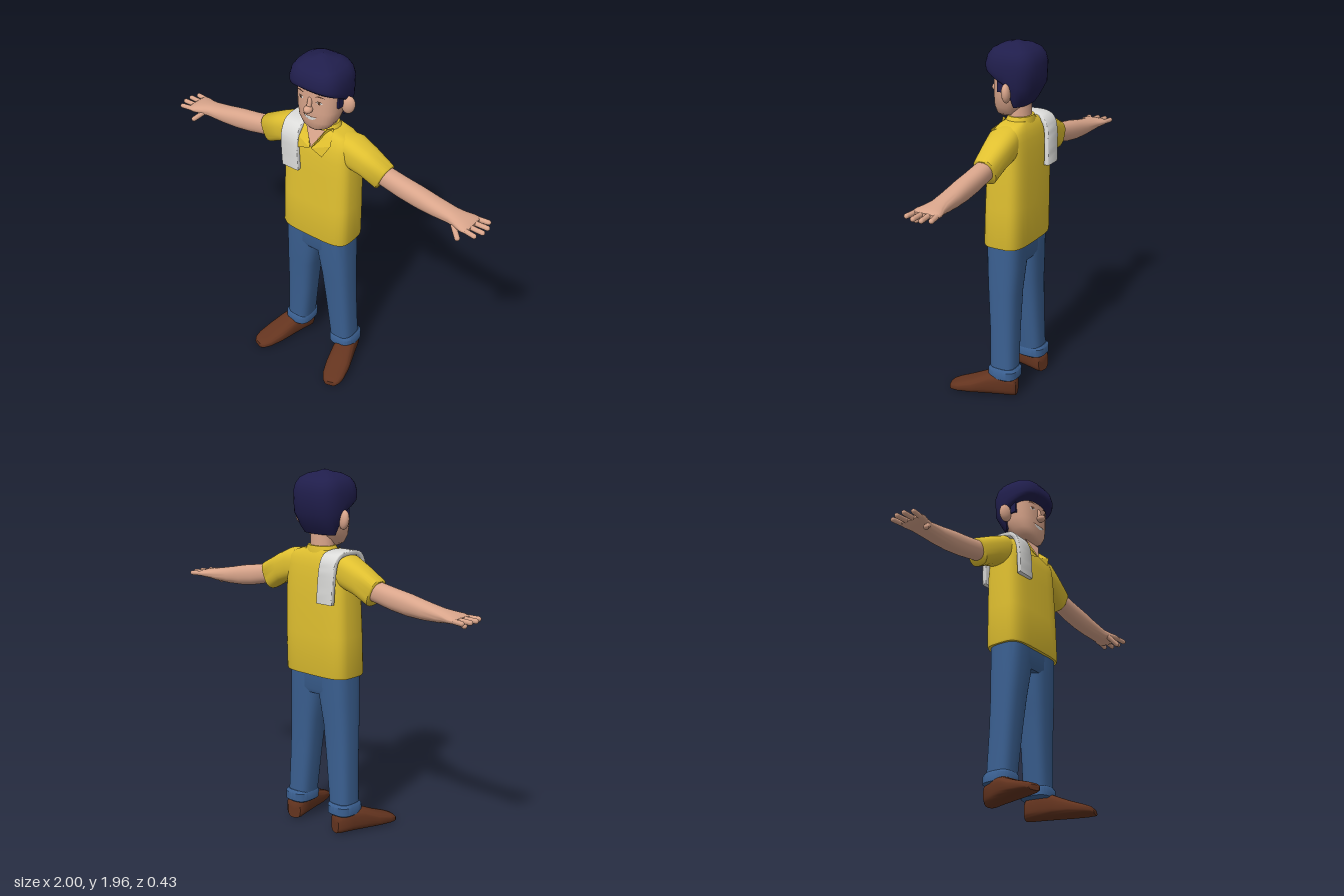
import * as THREE from 'three';
import { toCreasedNormals } from 'three/addons/utils/BufferGeometryUtils.js';

const paint = (name, color) => new THREE.MeshStandardMaterial({ name, color });
const V = (x, y, z) => new THREE.Vector3(x, y, z);

// Signed power, for rounded-square cross-sections
const spow = (v, n) => Math.sign(v) * Math.abs(v) ** (2 / n);

// Closed skin over rounded-square rings.
// axis 'y': [y, cx, cz, rx, rz]   axis 'x': [x, cy, cz, ry, rz, skew]
function loft(axis, rings, n = 3, warp = null, crease = 0.75, seg = 32) {
  const pts = [], index = [];
  for (const [a, c1, c2, r1, r2, skew = 0] of rings) {
    for (let i = 0; i < seg; i++) {
      const t = (i / seg) * Math.PI * 2;
      const c = spow(Math.cos(t), n), s = spow(Math.sin(t), n);
      const p = axis === 'y' ? V(c1 + r1 * c, a, c2 - r2 * s) : V(a + skew * c, c1 + r1 * c, c2 + r2 * s);
      if (warp) warp(p, -s);
      pts.push(p);
    }
  }
  const last = (rings.length - 1) * seg;
  const middle = (from) => pts.slice(from, from + seg).reduce((m, p) => m.add(p), V(0, 0, 0)).divideScalar(seg);
  const ends = [middle(0), middle(last)];
  const e0 = pts.length, e1 = e0 + 1;
  pts.push(...ends);
  for (let i = 0; i < seg; i++) {
    const j = (i + 1) % seg;
    for (let r = 0; r < last; r += seg) {
      index.push(r + i, r + j, r + seg + i, r + j, r + seg + j, r + seg + i);
    }
    index.push(e0, j, i, e1, last + i, last + j);
  }
  const g = new THREE.BufferGeometry().setFromPoints(pts);
  g.setIndex(index);
  return toCreasedNormals(g, crease);
}

// Round-ended rod between two points
function rod(a, b, r) {
  const d = b.clone().sub(a);
  const g = new THREE.CapsuleGeometry(r, d.length(), 4, 10);
  g.applyQuaternion(new THREE.Quaternion().setFromUnitVectors(V(0, 1, 0), d.normalize()));
  const m = a.clone().add(b).multiplyScalar(0.5);
  return g.translate(m.x, m.y, m.z);
}

function ellipsoid(x, y, z, rx, ry, rz) {
  return new THREE.SphereGeometry(1, 20, 14).scale(rx, ry, rz).translate(x, y, z);
}

// Fan of flat corners
function panel(...corners) {
  const g = new THREE.BufferGeometry().setFromPoints(corners);
  const index = [];
  for (let i = 1; i < corners.length - 1; i++) index.push(0, i, i + 1);
  g.setIndex(index);
  const flat = g.toNonIndexed();
  flat.computeVertexNormals();
  return flat;
}

function mirrored(geo) {
  const g = geo.index ? geo.toNonIndexed() : geo.clone();
  g.scale(-1, 1, 1);
  const index = [];
  for (let i = 0; i < g.attributes.position.count; i += 3) index.push(i, i + 2, i + 1);
  g.setIndex(index);
  return g;
}

export function createModel() {
  const model = new THREE.Group();
  model.name = 'man';
  const skin = paint('skin', 0xd9a58b), yellow = paint('yellow shirt', 0xe0c030);
  const denim = paint('blue denim', 0x3a5f90), navy = paint('navy cap', 0x201e4c);
  const brown = paint('brown leather', 0x64341f), white = paint('white cloth', 0xdcdcda);
  const dark = paint('dark brown hair', 0x5a3c2c), collarYellow = paint('yellow collar', 0xdebd2e);
  collarYellow.side = THREE.DoubleSide;

  const add = (name, geo, mat) => {
    const mesh = new THREE.Mesh(geo, mat);
    mesh.name = name;
    model.add(mesh);
  };
  const pair = (name, geo, mat) => {
    add('left' + name, geo, mat);
    add('right' + name, mirrored(geo), mat);
  };

  // Shirt body
  add('shirt', loft('y', [
    [0.875, 0, -0.07, 0.214, 0.115], [0.885, 0, -0.07, 0.217, 0.118], [1.1, 0, -0.075, 0.217, 0.115],
    [1.3, 0, -0.08, 0.213, 0.11], [1.4, 0, -0.08, 0.208, 0.105], [1.46, 0, -0.082, 0.205, 0.098],
    [1.5, 0, -0.085, 0.198, 0.088], [1.53, 0, -0.088, 0.165, 0.075], [1.55, 0, -0.09, 0.1, 0.062],
  ], 4), yellow);
  // Sleeves with slanted openings
  pair('Sleeve', loft('x', [
    [0.11, 1.45, -0.088, 0.09, 0.07], [0.2, 1.445, -0.09, 0.088, 0.085, 0.005],
    [0.28, 1.413, -0.093, 0.079, 0.074, 0.015], [0.38, 1.36, -0.095, 0.071, 0.061, 0.03],
    [0.385, 1.358, -0.095, 0.065, 0.055, 0.028],
  ], 2.7), yellow);
  // Collar
  add('collarBand', loft('y', [
    [1.52, 0, -0.087, 0.1, 0.075], [1.55, 0, -0.09, 0.09, 0.07], [1.57, 0, -0.092, 0.078, 0.064],
  ], 2.2), yellow);
  add('openNeck', panel(V(0, 1.455, 0.036), V(0.062, 1.558, -0.008), V(-0.062, 1.558, -0.008)), skin);
  pair('CollarFlap', panel(V(0.004, 1.452, 0.037), V(0.078, 1.428, 0.042), V(0.118, 1.5, 0.022),
    V(0.085, 1.562, -0.05), V(0.064, 1.562, -0.018)), collarYellow);

  // Arms and hands
  pair('Arm', loft('x', [
    [0.3, 1.38, -0.095, 0.05, 0.045], [0.4, 1.365, -0.095, 0.055, 0.05], [0.5, 1.345, -0.095, 0.057, 0.051],
    [0.6, 1.33, -0.095, 0.056, 0.052], [0.7, 1.317, -0.095, 0.047, 0.052], [0.8, 1.309, -0.095, 0.036, 0.052],
    [0.845, 1.308, -0.092, 0.029, 0.062], [0.885, 1.307, -0.09, 0.024, 0.076],
    [0.915, 1.306, -0.09, 0.018, 0.077], [0.925, 1.306, -0.09, 0.01, 0.072],
  ], 2.3), skin);
  [[-0.15, -0.16, 0.968], [-0.111, -0.117, 0.987], [-0.07, -0.07, 0.987], [-0.031, -0.022, 0.968]].forEach(
    ([z0, z1, x], i) => pair('Finger' + (i + 1), rod(V(0.9, 1.306, z0), V(x, 1.304, z1), 0.0135), skin));
  pair('Thumb', rod(V(0.835, 1.295, -0.045), V(0.88, 1.253, -0.015), 0.0145), skin);

  // Trousers
  add('hips', loft('y', [
    [0.765, 0, -0.069, 0.19, 0.084], [0.79, 0, -0.069, 0.204, 0.094], [0.9, 0, -0.069, 0.2, 0.098],
  ], 3.5), denim);
  pair('TrouserLeg', loft('y', [
    [0.13, 0.157, -0.083, 0.068, 0.073], [0.4, 0.136, -0.076, 0.079, 0.076], [0.6, 0.122, -0.07, 0.088, 0.084],
    [0.75, 0.106, -0.069, 0.1, 0.094], [0.88, 0.101, -0.069, 0.1, 0.098],
  ], 3), denim);
  pair('TrouserCuff', loft('y', [
    [0.1, 0.161, -0.086, 0.068, 0.076], [0.108, 0.161, -0.086, 0.078, 0.086],
    [0.152, 0.16, -0.086, 0.078, 0.086], [0.166, 0.159, -0.085, 0.066, 0.074],
  ], 3), denim);

  // Shoes, toes turned out
  const shoe = loft('x', [[0, 0.1, 0.038], [0.015, 0.118, 0.052], [0.09, 0.135, 0.058], [0.16, 0.122, 0.064],
    [0.25, 0.083, 0.069], [0.33, 0.055, 0.062], [0.365, 0.042, 0.048], [0.38, 0.028, 0.032],
  ].map(([x, h, w]) => [x, h / 2, 0, h / 2, w]), 3);
  pair('Shoe', shoe.rotateY(-1.27).translate(0.155, 0, -0.16), brown);

  // Head and neck
  add('neck', loft('y', [[1.48, 0, -0.088, 0.072, 0.058], [1.63, 0, -0.088, 0.068, 0.056]], 2), skin);
  const headRings = [
    [1.562, 0, -0.02, 0.045, 0.04], [1.58, 0, -0.03, 0.08, 0.06], [1.62, 0, -0.042, 0.108, 0.08],
    [1.68, 0, -0.06, 0.124, 0.1], [1.76, 0, -0.073, 0.13, 0.113], [1.86, 0, -0.073, 0.133, 0.113],
  ];
  add('head', loft('y', headRings, 2.6, null, 1.2), skin);
  add('noseTip', ellipsoid(0, 1.697, 0.055, 0.024, 0.021, 0.026), skin);
  add('noseBridge', rod(V(0, 1.75, 0.035), V(0, 1.705, 0.05), 0.013), skin);
  pair('Ear', ellipsoid(0, 0, 0, 0.036, 0.052, 0.024).rotateY(0.35).rotateZ(-0.15).translate(0.15, 1.712, -0.085), skin);

  // Front surface of the face, for laying thin features on it
  const faceZ = (x, y) => {
    let i = 0;
    while (i < headRings.length - 2 && headRings[i + 1][0] < y) i++;
    const a = headRings[i], b = headRings[i + 1], k = (y - a[0]) / (b[0] - a[0]);
    const [cz, rx, rz] = [2, 3, 4].map((c) => a[c] + (b[c] - a[c]) * k);
    return cz + rz * Math.max(0, 1 - Math.abs(x / rx) ** 2.6) ** (1 / 2.6);
  };
  const onFace = (geo, lift) => {
    const p = geo.attributes.position;
    for (let i = 0; i < p.count; i++) p.setZ(i, faceZ(p.getX(i), p.getY(i)) + lift);
    geo.computeVertexNormals();
    return geo;
  };
  const disc = (x, y, rx, ry) => new THREE.CircleGeometry(1, 18).scale(rx, ry, 1).translate(x, y, 0);
  // Curved strip: y follows a parabola, thickness fades to the ends
  const strip = (x, y, w, h, bend) => {
    const g = new THREE.PlaneGeometry(w, h, 14, 1), p = g.attributes.position;
    for (let i = 0; i < p.count; i++) {
      const u = p.getX(i) / (w / 2);
      p.setY(i, p.getY(i) * (1.1 - u * u) + bend * u * u);
    }
    return g.translate(x, y, 0);
  };
  pair('Eye', onFace(disc(0.058, 1.744, 0.016, 0.008), 0.003), white);
  pair('Pupil', onFace(disc(0.058, 1.744, 0.008, 0.008), 0.005), dark);
  pair('Eyelid', onFace(strip(0.058, 1.754, 0.038, 0.004, -0.006), 0.005), dark);
  pair('Eyebrow', onFace(strip(0.06, 1.782, 0.052, 0.007, -0.007), 0.004), dark);
  add('lipLine', onFace(strip(0, 1.65, 0.1, 0.006, 0.007), 0.004), dark);
  add('smile', onFace(strip(0, 1.641, 0.08, 0.018, 0.009), 0.004), white);

  // Cap, its edge rising at the brow and reaching down over the nape
  add('cap', loft('y', [
    [1.75, 0, -0.066, 0.146, 0.137], [1.765, 0, -0.066, 0.153, 0.143], [1.8, 0, -0.066, 0.155, 0.146],
    [1.85, 0, -0.066, 0.154, 0.146], [1.89, 0, -0.066, 0.144, 0.136], [1.92, 0, -0.067, 0.123, 0.115],
    [1.942, 0, -0.068, 0.083, 0.077], [1.952, 0, -0.069, 0.035, 0.033], [1.962, 0, -0.07, 0.008, 0.008],
  ], 2.9, (p, s) => {
    const k = s > 0 ? 0.95 - 0.65 * s : Math.min(2.2, 0.95 - 2.5 * s);
    if (p.y < 1.85) p.y = 1.85 - (1.85 - p.y) * k;
    const low = Math.max(0, 1.75 - p.y);
    p.z += low * 0.5 * Math.max(0, -s);
    p.x *= 1 - low * 1.7;
  }, 1), navy);
  pair('Sideburn', new THREE.BoxGeometry(0.014, 0.09, 0.036).translate(0.128, 1.755, -0.043), navy);

  // Towel folded over the right shoulder
  const path = [[0.038, 1.288], [0.038, 1.4], [0.03, 1.47], [0.002, 1.522], [-0.04, 1.54], [-0.13, 1.541],
    [-0.178, 1.518], [-0.197, 1.46], [-0.202, 1.38], [-0.204, 1.288]].map(([z, y]) => new THREE.Vector2(z, y));
  const curve = new THREE.SplineCurve(path), outer = [], inner = [];
  for (let i = 0; i <= 28; i++) {
    const p = curve.getPoint(i / 28), t = curve.getTangent(i / 28);
    outer.push(new THREE.Vector2(p.x + t.y * 0.007, p.y - t.x * 0.007));
    inner.unshift(new THREE.Vector2(p.x - t.y * 0.007, p.y + t.x * 0.007));
  }
  const towel = new THREE.ExtrudeGeometry(new THREE.Shape([...outer, ...inner]), {
    depth: 0.098, bevelEnabled: true, bevelSize: 0.006, bevelThickness: 0.006, bevelSegments: 3,
  });
  towel.translate(0, 0, -0.049).rotateY(-Math.PI / 2);
  const tp = towel.attributes.position;
  for (let i = 0; i < tp.count; i++) tp.setX(i, tp.getX(i) - 0.142 + (1.54 - tp.getY(i)) * 0.06);
  add('towel', toCreasedNormals(towel, 0.8), white);

  return model;
}
